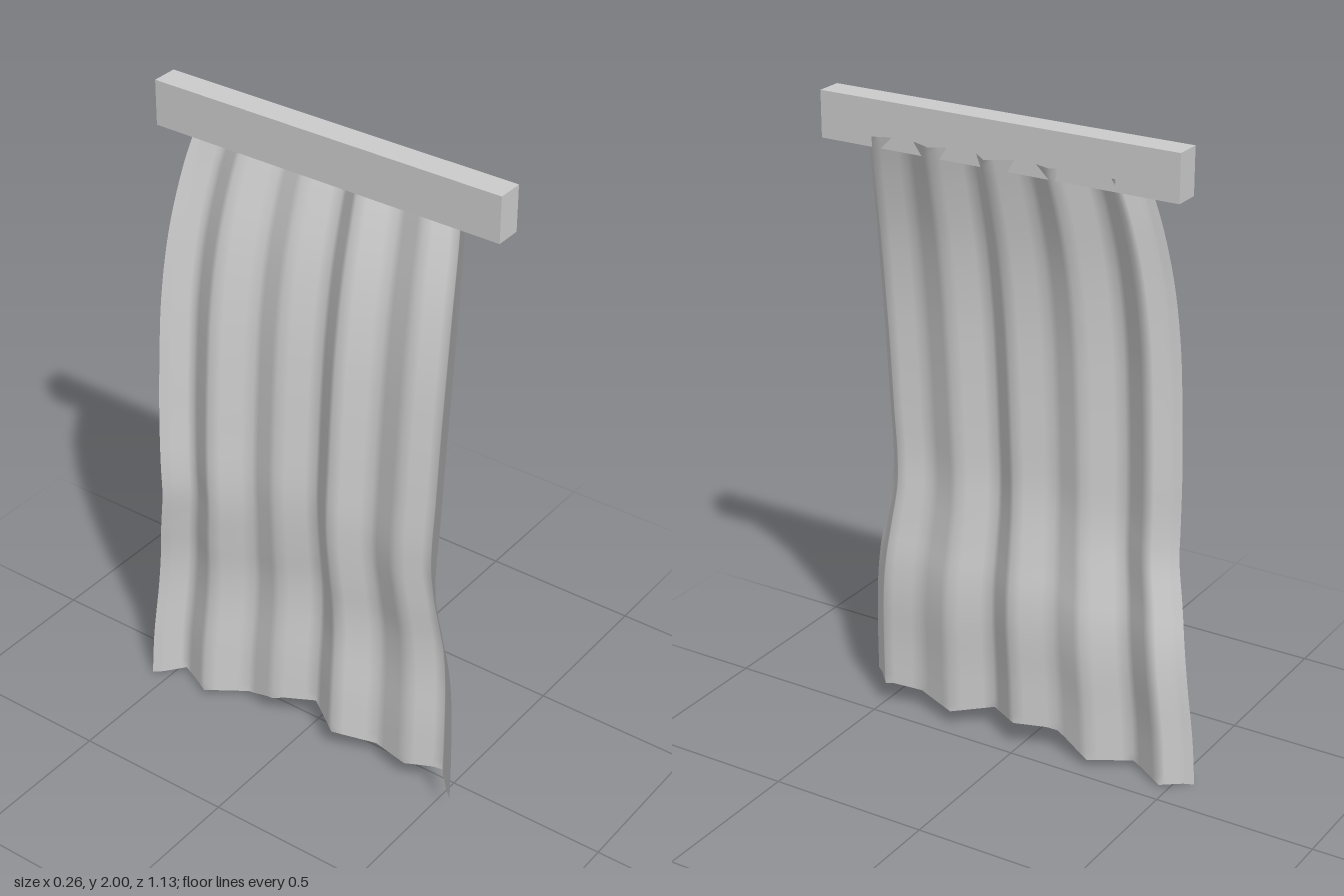
import * as THREE from 'three';

const grey = () => new THREE.MeshStandardMaterial({ color: 0xcccccc, side: THREE.DoubleSide });

// Smooth curve through [a, b, c] points
const curve = (pts) => new THREE.CatmullRomCurve3(pts.map((p) => new THREE.Vector3(...p)), false, 'centripetal');

// Hang of the cloth from hem to top: [x offset, height, half width]
const HANG = curve([
  [-0.024, 0.05, 0.562], [-0.015, 0.2, 0.556], [0, 0.38, 0.541], [0, 0.5, 0.528],
  [-0.012, 0.62, 0.511], [-0.023, 0.75, 0.491], [-0.026, 0.85, 0.49], [-0.019, 1.0, 0.494],
  [-0.006, 1.2, 0.495], [0.013, 1.4, 0.494], [0.046, 1.6, 0.484], [0.093, 1.78, 0.464], [0.131, 1.9, 0.441],
]);

// Pleat section: [position across -1..1, depth behind the front ridge]
const PLEATS = [
  [-1, 0.106], [-0.95, 0.088], [-0.857, 0.035], [-0.64, 0.1], [-0.43, 0.025], [-0.22, 0.055], [0, 0],
  [0.2, 0.075], [0.42, 0.015], [0.65, 0.055], [0.85, 0.02], [0.95, 0.082], [1, 0.106],
];

// Uneven hem: [position across, height]
const HEM = [
  [-1, 0.005], [-0.72, 0.025], [-0.42, 0.03], [-0.29, 0.065], [-0.18, 0.088], [0, 0.095],
  [0.2, 0.08], [0.42, 0.056], [0.62, 0.07], [0.8, 0.085], [1, 0.075],
];

// Interpolate a table of [u, value]
function lookup(table, u) {
  let i = 1;
  while (i < table.length - 1 && u > table[i][0]) i++;
  const [a, va] = table[i - 1], [b, vb] = table[i];
  return va + ((u - a) / (b - a)) * (vb - va);
}

function curtainGeometry(rows = 60, sub = 4) {
  // Columns fall exactly on each fold
  const us = [PLEATS[0][0]];
  for (let i = 1; i < PLEATS.length; i++)
    for (let k = 1; k <= sub; k++) us.push(THREE.MathUtils.lerp(PLEATS[i - 1][0], PLEATS[i][0], k / sub));

  const pos = [], index = [], cols = us.length;
  for (let r = 0; r <= rows; r++) {
    const p = HANG.getPoint(r / rows);
    const t = (p.y - 0.05) / 1.85;
    for (const u of us) {
      const hem = lookup(HEM, u);
      pos.push(p.x - lookup(PLEATS, u), hem + t * (1.9 - hem), 0.007 + u * p.z);
    }
  }
  for (let r = 0; r < rows; r++)
    for (let c = 0; c < cols - 1; c++) {
      const a = r * cols + c, b = a + 1, d = a + cols, e = d + 1;
      index.push(a, d, b, b, d, e);
    }
  const g = new THREE.BufferGeometry();
  g.setAttribute('position', new THREE.Float32BufferAttribute(pos, 3));
  g.setIndex(index);
  g.computeVertexNormals();
  return g;
}

export function createModel() {
  const model = new THREE.Group();
  model.name = 'hangingCurtain';

  // Square rail along z
  const rail = new THREE.Mesh(new THREE.BoxGeometry(0.08, 0.137, 1.13), new THREE.MeshStandardMaterial({ color: 0xcccccc }));
  rail.name = 'curtainRail';
  rail.position.set(0.05, 1.9315, 0);
  model.add(rail);

  // Pleated cloth, tucked into the rail at the top
  const cloth = new THREE.Mesh(curtainGeometry(), grey());
  cloth.name = 'pleatedCurtain';
  model.add(cloth);

  return model;
}
